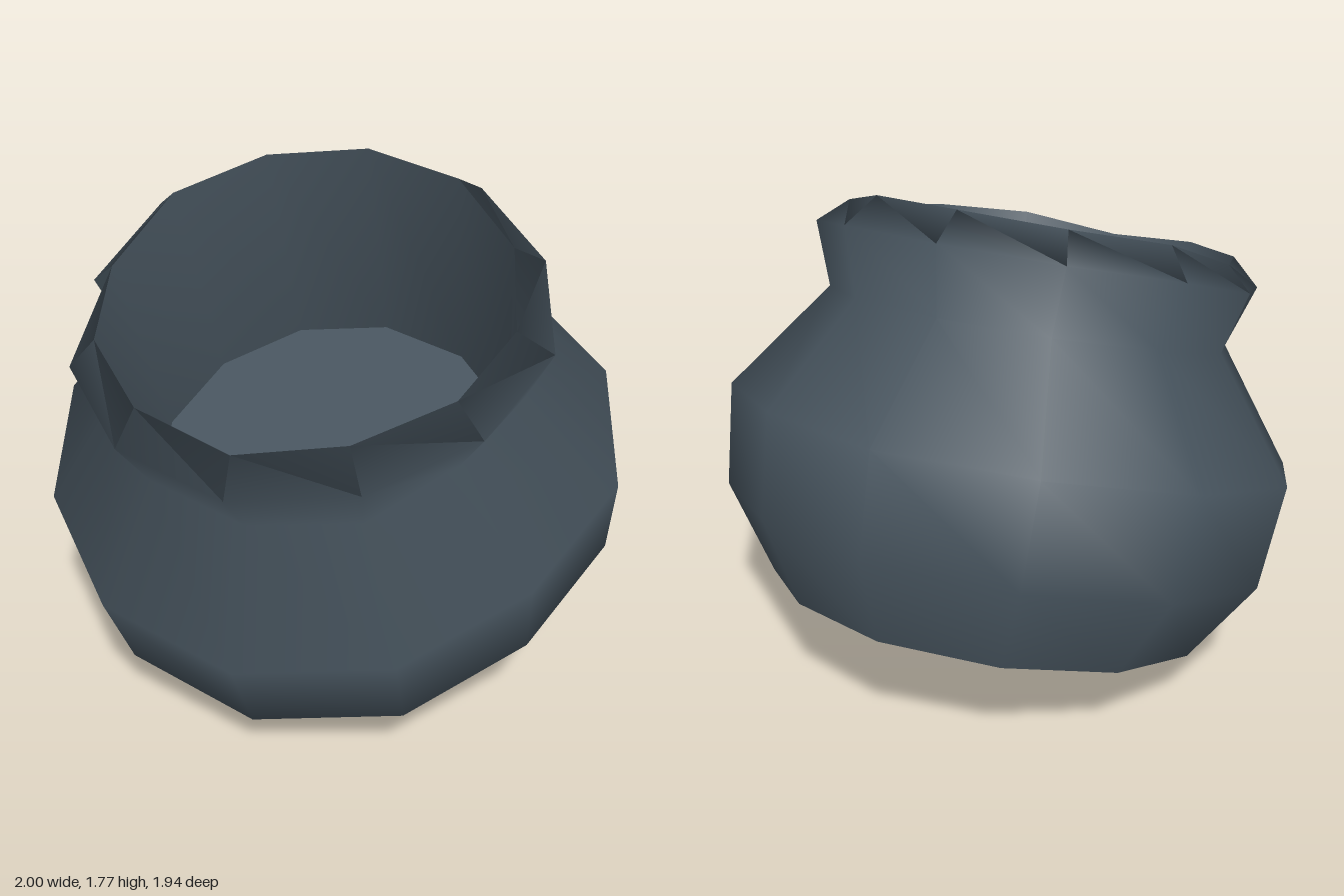
import * as THREE from 'three';

const SIDES = 12;
const TILT = THREE.MathUtils.degToRad(20);

// Hand-made unevenness, one value per side, from the front round by the left
const BASE_SCALE = [1, 0.92, 0.9, 0.99, 0.98, 0.97, 1, 1, 1, 1, 0.98, 0.99];
const BELLY_SCALE = [1, 0.985, 0.955, 1, 0.99, 0.96, 1, 0.985, 1, 1, 0.985, 1];
const RIM_LIFT = [-0.02, 0.01, -0.01, -0.045, -0.03, 0.005, 0.005, 0, 0, -0.04, -0.02, 0];

export function createModel() {
  const slate = new THREE.MeshStandardMaterial({ color: 0x46535d });
  slate.name = 'slate';

  const pot = new THREE.Group();
  pot.name = 'pot';
  const add = (name, geometry) => {
    const mesh = new THREE.Mesh(geometry, slate);
    mesh.name = name;
    pot.add(mesh);
    return mesh;
  };

  // Profile as radius and height: up the belly, over the lip, down the inside
  const BASE = 0, BELLY = [1, 2], NECK = 3, LIP = 4, RIM = 5, FLOOR = 6;
  const profile = [
    [0.76, 0.18], [0.95, 0.468], [0.985, 0.82], [0.69, 1.205],
    [0.765, 1.43], [0.665, 1.535], [0.62, 0.71],
  ].map(([r, h]) => new THREE.Vector2(r, h));

  // Wall, with its seam on the right side where the lip overlaps itself
  const wall = new THREE.LatheGeometry(profile, SIDES, Math.PI * 1.5, Math.PI * 2);
  const pos = wall.attributes.position;
  const index = (column, row) => column * profile.length + row;
  const adjust = (column, row, scale, lift = 0) => {
    const i = index(column, row);
    pos.setXYZ(i, pos.getX(i) * scale, pos.getY(i) + lift, pos.getZ(i) * scale);
  };
  for (let column = 0; column <= SIDES; column++) {
    const side = (column + 9) % SIDES;
    adjust(column, BASE, BASE_SCALE[side]);
    BELLY.forEach((row) => adjust(column, row, BELLY_SCALE[side]));
    adjust(column, LIP, 1, RIM_LIFT[side] * 0.4);
    adjust(column, RIM, 1, RIM_LIFT[side]);
  }
  adjust(0, LIP, 0.92); // lip tucked in where it starts
  adjust(SIDES, LIP, 0.98); // lip standing out where it ends
  adjust(6, LIP, 1.02);
  adjust(5, NECK, 0.94); // small dent in the neck
  add('wall', wall);

  // Step face that closes the lip at the seam
  const seam = [[0, NECK], [0, LIP], [0, RIM], [SIDES, LIP]].map(([column, row]) => {
    const i = index(column, row);
    return new THREE.Vector2(pos.getX(i), pos.getY(i));
  });
  add('lipStep', new THREE.ShapeGeometry(new THREE.Shape(seam)));

  // Flat base that follows the uneven bottom edge
  const edge = BASE_SCALE.map((scale, side) => {
    const angle = (side / SIDES) * Math.PI * 2;
    const r = profile[BASE].x * scale;
    return new THREE.Vector2(r * Math.sin(angle), r * Math.cos(angle));
  });
  const base = add('base', new THREE.ShapeGeometry(new THREE.Shape(edge)));
  base.rotation.x = Math.PI / 2;
  base.position.y = profile[BASE].y;

  // Inner floor
  const floor = add('floor', new THREE.CircleGeometry(profile[FLOOR].x, SIDES));
  floor.rotation.x = -Math.PI / 2;
  floor.position.y = profile[FLOOR].y;

  // The whole pot leans forward on the front edge of its base
  pot.scale.x = 1.015;
  pot.rotation.x = TILT;
  pot.position.set(0, 0.09, -0.24);

  const model = new THREE.Group();
  model.name = 'tiltedPot';
  model.add(pot);
  return model;
}
